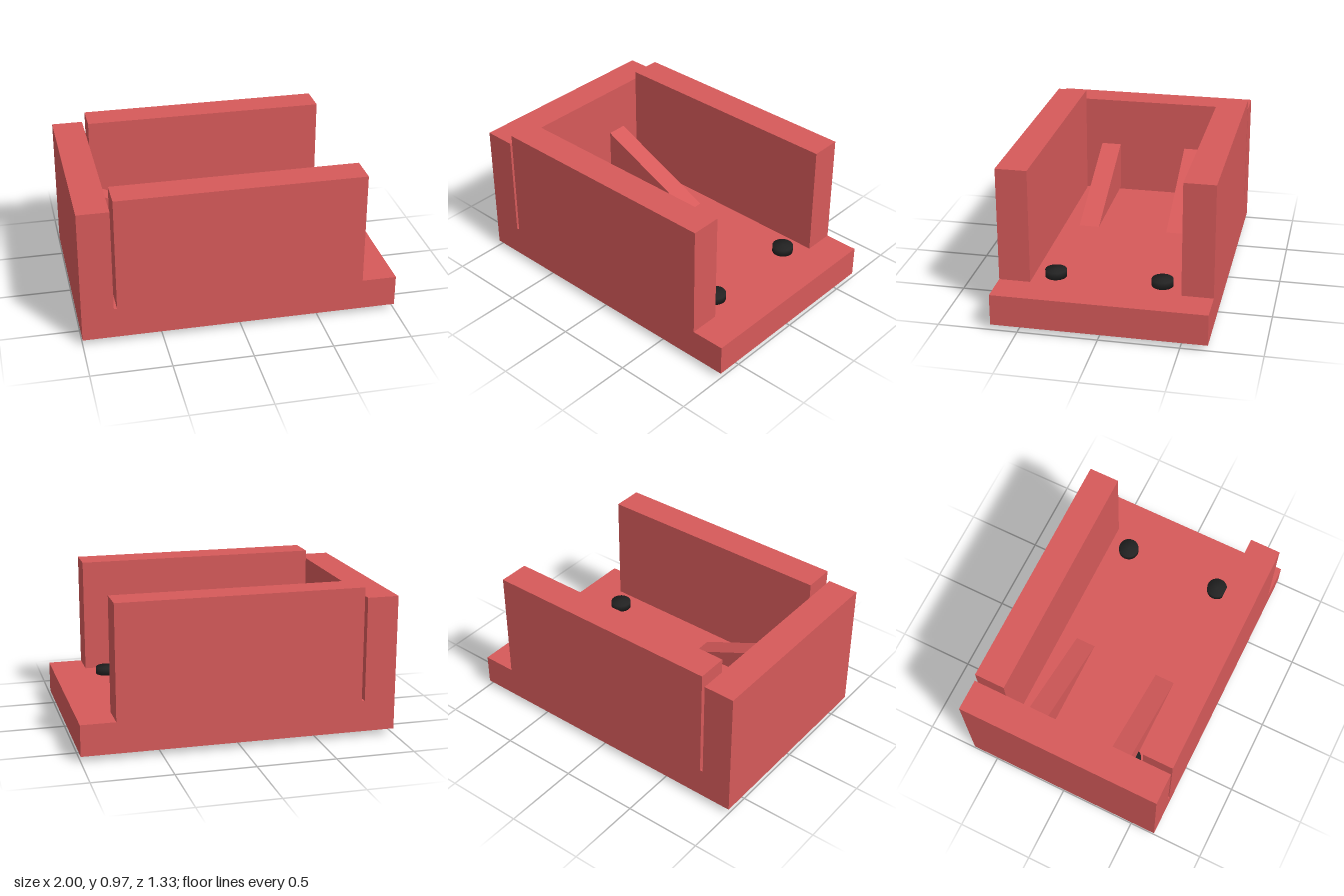
import * as THREE from 'three';
import { mergeVertices } from 'three/addons/utils/BufferGeometryUtils.js';

export function createModel() {
  const model = new THREE.Group();
  model.name = 'openTray';
  const red = new THREE.MeshStandardMaterial({ color: 0xd65a5a });
  const black = new THREE.MeshStandardMaterial({ color: 0x222222 });

  const add = (name, geometry, material, x = 0, y = 0, z = 0) => {
    const mesh = new THREE.Mesh(geometry, material);
    mesh.name = name;
    mesh.position.set(x, y, z);
    model.add(mesh);
  };

  // Box given by its lower and upper corners
  const box = (name, [x0, y0, z0], [x1, y1, z1]) =>
    add(name, new THREE.BoxGeometry(x1 - x0, y1 - y0, z1 - z0), red,
      (x0 + x1) / 2, (y0 + y1) / 2, (z0 + z1) / 2);

  // Disc with normals blended over its rim
  const disc = (radius, height) => {
    const g = new THREE.CylinderGeometry(radius, radius, height, 32);
    g.deleteAttribute('uv');
    g.deleteAttribute('normal');
    const soft = mergeVertices(g);
    soft.computeVertexNormals();
    return soft;
  };

  // Base plate, end wall and the two side walls
  const floor = 0.235, bottom = 0.035, half = 0.667;
  box('basePlate', [-1, bottom, -half], [1, floor, half]);
  box('endWall', [-1, floor, -half], [-0.8, 0.9, half]);
  box('leftSideWall', [-0.78, floor, -half], [0.78, 0.967, -0.47]);
  box('rightSideWall', [-0.78, floor, 0.47], [0.78, 0.967, half]);

  // Wedge braces against the end wall, just clear of the floor
  const wedge = new THREE.Shape([
    new THREE.Vector2(-0.8, 0.25),
    new THREE.Vector2(-0.075, 0.25),
    new THREE.Vector2(-0.8, 0.575),
  ]);
  const brace = new THREE.ExtrudeGeometry(wedge, { depth: 0.133, bevelEnabled: false });
  for (const z of [-0.295, 0.295]) add('wedgeBrace', brace, red, 0, 0, z - 0.0665);

  // Bolt heads above the floor and feet below it, at four corners
  const head = disc(0.067, 0.045);
  const foot = disc(0.056, bottom);
  for (const x of [-0.667, 0.663]) {
    for (const z of [-0.335, 0.335]) {
      add('boltHead', head, black, x, floor + 0.0225, z);
      add('foot', foot, black, x, bottom / 2, z);
    }
  }
  return model;
}
